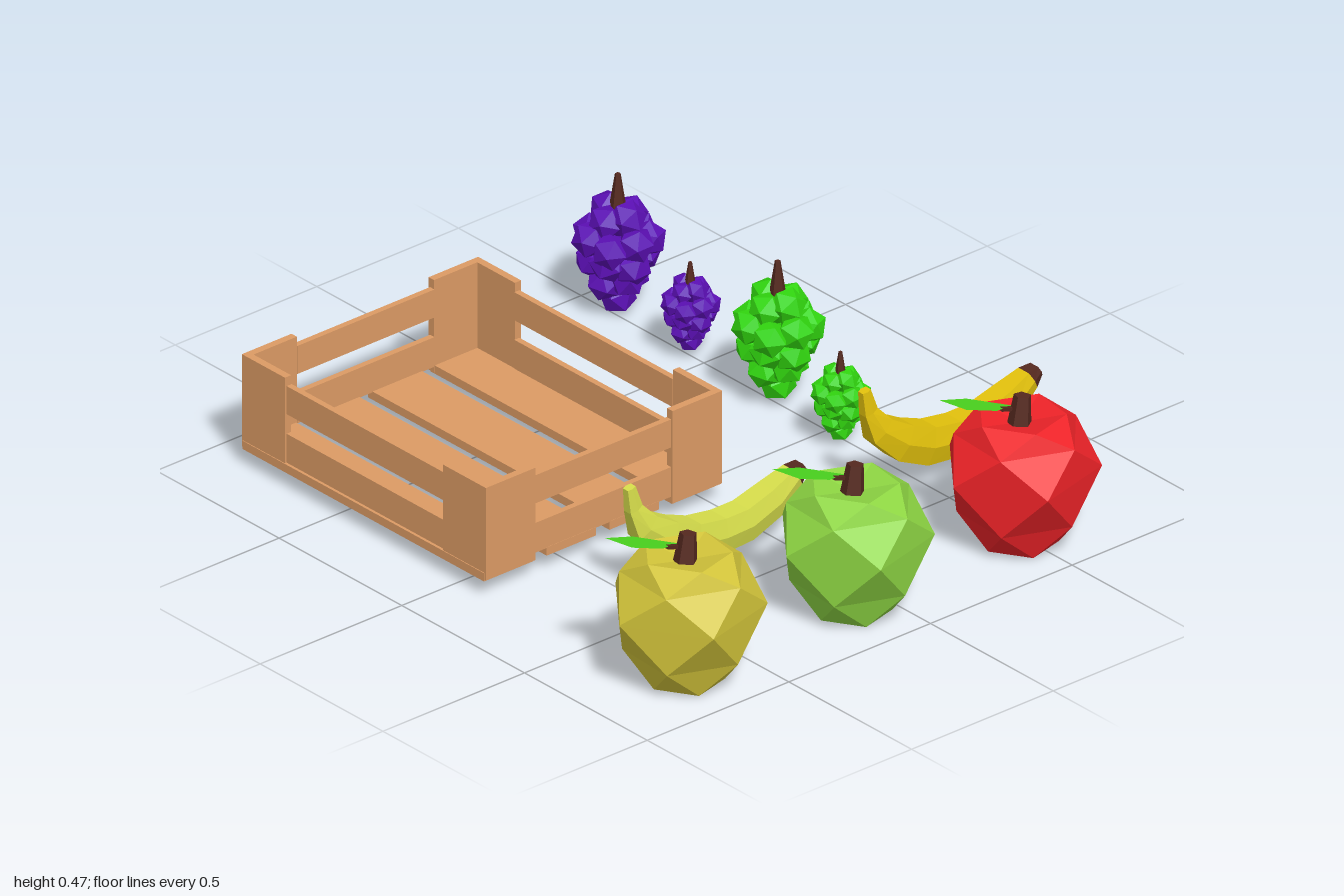
import * as THREE from 'three';

const WOOD = 0xdb9a64, BROWN = 0x55291f, LEAF = 0x4bd51f;
const mat = (color, side = THREE.FrontSide) =>
  new THREE.MeshStandardMaterial({ color, flatShading: true, side });

function add(parent, name, geometry, material, x = 0, y = 0, z = 0) {
  const mesh = new THREE.Mesh(geometry, material);
  mesh.name = name;
  mesh.position.set(x, y, z);
  parent.add(mesh);
  return mesh;
}

function group(parent, name, x = 0, y = 0, z = 0) {
  const g = new THREE.Group();
  g.name = name;
  g.position.set(x, y, z);
  parent.add(g);
  return g;
}

// Skin over equal-sized rings, closed by two end points; zigzag flips every second band
function loft(rings, start, end, zigzag = false) {
  const p = [], n = rings[0].length;
  const tri = (...v) => v.forEach((q) => p.push(q.x, q.y, q.z));
  for (let i = 0; i < n; i++) {
    const j = (i + 1) % n;
    tri(start, rings[0][j], rings[0][i]);
    for (let k = 0; k < rings.length - 1; k++) {
      const a = rings[k], b = rings[k + 1];
      if (zigzag && k % 2) {
        tri(a[i], b[j], b[i]);
        tri(a[i], a[j], b[j]);
      } else {
        tri(a[i], a[j], b[i]);
        tri(b[i], a[j], b[j]);
      }
    }
    const last = rings[rings.length - 1];
    tri(end, last[i], last[j]);
  }
  const g = new THREE.BufferGeometry();
  g.setAttribute('position', new THREE.Float32BufferAttribute(p, 3));
  g.computeVertexNormals();
  return g;
}

// Crate: slatted floor, L-shaped corner posts, two rails per side
function addCrate(root) {
  const crate = group(root, 'crate', -0.383, 0, -0.385);
  const m = mat(WOOD), hx = 0.417, hz = 0.497, t = 0.022, w = 0.175;
  const box = (name, sx, sy, sz, x, y, z) =>
    add(crate, name, new THREE.BoxGeometry(sx, sy, sz), m, x, y, z);
  for (let i = 0; i < 4; i++) box('floorSlat', w, 0.025, 2 * hz - 0.01, (i - 1.5) * 0.2213, 0.065, 0);
  for (const s of [-1, 1]) {
    for (const q of [-1, 1]) {
      box('cornerPostSide', t, 0.28, w, s * (hx - t / 2), 0.197, q * (hz - w / 2));
      box('cornerPostEnd', w - t, 0.28, t, s * (hx - t - (w - t) / 2), 0.197, q * (hz - t / 2));
    }
    for (const [y, h] of [[0.12, 0.09], [0.267, 0.085]]) {
      box('sideRail', t - 0.004, h, 2 * (hz - w), s * (hx - 0.004 - t / 2), y, 0);
      box('endRail', 2 * (hx - w), h, t - 0.004, 0, y, s * (hz - 0.004 - t / 2));
    }
  }
}

// Apple: five-sided faceted body with a dimple, stem and one leaf
function addApple(root, name, x, color) {
  const apple = group(root, name, x, 0, 0.805);
  const angles = [-108, -25, 41, 111, 185, 252].map(THREE.MathUtils.degToRad);
  const rings = [[0.125, 0.39], [0.178, 0.335], [0.219, 0.235], [0.17, 0.1], [0.105, 0.006]].map(([r, y], k) =>
    [0, 1, 2, 3, 4].map((i) => {
      const a = k % 2 ? (angles[i] + angles[i + 1]) / 2 : angles[i];
      return new THREE.Vector3(r * Math.cos(a), y, r * Math.sin(a));
    }));
  add(apple, 'appleBody', loft(rings, new THREE.Vector3(0, 0.365, 0), new THREE.Vector3(0, 0.015, 0), true), mat(color));

  const stem = add(apple, 'appleStem', new THREE.CylinderGeometry(0.024, 0.036, 0.1, 5), mat(BROWN), -0.01, 0.405, 0.015);
  stem.rotation.z = -0.12;

  const outline = [[-0.015, -0.015], [-0.095, 0.015], [-0.185, -0.005], [-0.215, -0.08], [-0.12, -0.08]];
  const pts = outline.map(([u, v]) => new THREE.Vector3(u, 0.415 - 0.3 * (u + 0.015), v));
  const tris = [];
  for (let i = 1; i < 4; i++) tris.push(pts[0], pts[i], pts[i + 1]);
  const leaf = new THREE.BufferGeometry().setFromPoints(tris);
  leaf.computeVertexNormals();
  add(apple, 'appleLeaf', leaf, mat(LEAF, THREE.DoubleSide));
  const stalk = add(apple, 'leafStalk', new THREE.BoxGeometry(0.06, 0.01, 0.012), mat(BROWN), -0.035, 0.417, -0.003);
  stalk.rotation.z = -0.29;
}

// Banana: six-sided section swept along a bent path; [x, y, half height, half width]
const BANANA = [
  [0.298, 0.357, 0.014, 0.014], [0.312, 0.29, 0.022, 0.02], [0.345, 0.225, 0.04, 0.035],
  [0.42, 0.165, 0.052, 0.045], [0.51, 0.125, 0.055, 0.046], [0.61, 0.112, 0.052, 0.046],
  [0.7, 0.115, 0.05, 0.046], [0.8, 0.148, 0.046, 0.043], [0.875, 0.192, 0.03, 0.03],
  [0.905, 0.208, 0.016, 0.022]];
function addBanana(root, name, x, color) {
  const banana = group(root, name, x, 0, 0.387);
  const at = (i) => new THREE.Vector3(BANANA[i][0], BANANA[i][1], 0);
  const section = [[1, 0.72], [0, 1], [-1, 0.72], [-1, -0.72], [0, -1], [1, -0.72]];
  const rings = BANANA.map(([, , h, w], i) => {
    const d = at(Math.min(i + 1, BANANA.length - 1)).sub(at(Math.max(i - 1, 0))).normalize();
    return section.map(([u, v]) => at(i).add(new THREE.Vector3(-d.y * u * h, d.x * u * h, v * w)));
  });
  const n = rings.length;
  add(banana, 'bananaBody', loft(rings.slice(0, n - 1), at(0), at(n - 2)), mat(color));
  add(banana, 'bananaTip', loft(rings.slice(n - 2), at(n - 2), at(n - 1)), mat(BROWN));
}

// Grapes: stacked rings of faceted berries tapering to the bottom; [y, ring radius, count]
function addGrapes(root, name, x, y, z, scale, color) {
  const bunch = group(root, name, x, y, z);
  bunch.scale.setScalar(scale);
  const m = mat(color);
  const berry = new THREE.IcosahedronGeometry(0.053, 0);
  const layers = [[0.285, 0.04, 4], [0.225, 0.08, 7], [0.165, 0.066, 6], [0.105, 0.043, 4], [0.052, 0, 1]];
  layers.forEach(([h, r, count], k) => {
    for (let i = 0; i < count; i++) {
      const a = ((i + k * 0.5) / count) * Math.PI * 2 + k * 0.3;
      const b = add(bunch, 'grape', berry, m, r * Math.cos(a), h + (i % 2) * 0.014, r * Math.sin(a));
      b.rotation.set(i * 1.3 + k, a, k * 0.7);
    }
  });
  add(bunch, 'grapeStem', new THREE.CylinderGeometry(0.008, 0.027, 0.12, 5), mat(BROWN), 0, 0.36, 0);
}

export function createModel() {
  const root = new THREE.Group();
  root.name = 'fruitAndCrate';
  addCrate(root);
  addApple(root, 'yellowApple', -0.695, 0xd2c43a);
  addApple(root, 'greenApple', -0.105, 0x8ed643);
  addApple(root, 'redApple', 0.485, 0xee2328);
  addBanana(root, 'greenBanana', -0.83, 0xd6dd4b);
  addBanana(root, 'yellowBanana', 0, 0xe2c10c);
  addGrapes(root, 'largeGreenGrapes', 0.505, 0.015, -0.205, 1, 0x31d60f);
  addGrapes(root, 'smallGreenGrapes', 0.475, 0.02, 0.085, 0.64, 0x31d60f);
  addGrapes(root, 'largePurpleGrapes', 0.515, 0.005, -0.868, 1, 0x5b0fb4);
  addGrapes(root, 'smallPurpleGrapes', 0.495, 0.025, -0.55, 0.64, 0x5b0fb4);
  return root;
}
